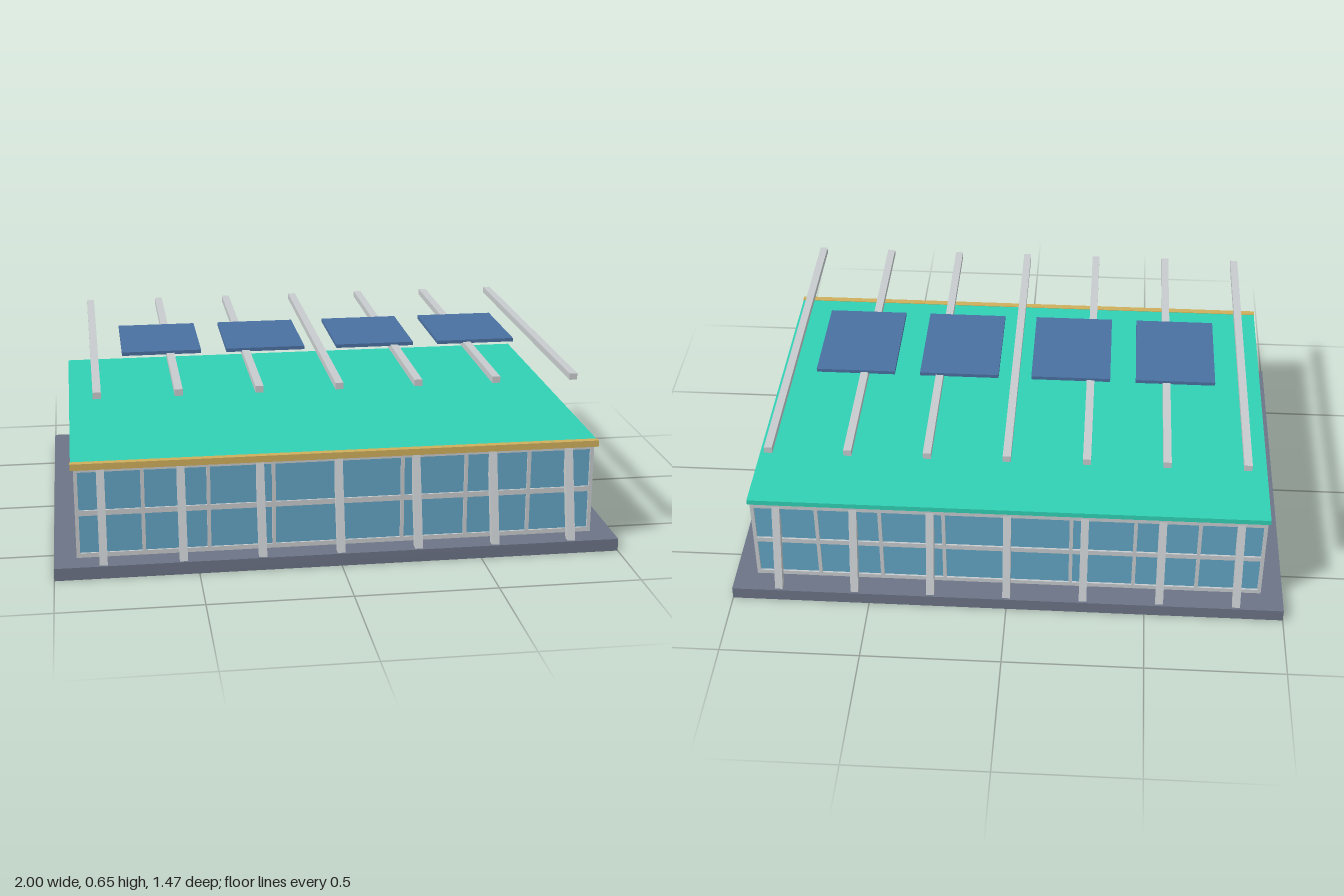
import * as THREE from 'three';

const material = (name, color) => {
  const m = new THREE.MeshStandardMaterial({ color });
  m.name = name;
  return m;
};

export function createModel() {
  const model = new THREE.Group();
  model.name = 'pavilion';
  const concrete = material('slate concrete', 0x6b7385);
  const steel = material('pale steel', 0xc6cacc);
  const glass = material('blue glass', 0x62a4c4);
  const teal = material('teal roof', 0x2fd0b4);
  const gold = material('gold trim', 0xcdae5c);
  const navy = material('solar blue', 0x4a70a0);

  // Box given by its limits on each axis
  const box = (name, mat, [x0, x1], [y0, y1], [z0, z1], parent = model) => {
    const mesh = new THREE.Mesh(new THREE.BoxGeometry(x1 - x0, y1 - y0, z1 - z0), mat);
    mesh.position.set((x0 + x1) / 2, (y0 + y1) / 2, (z0 + z1) / 2);
    mesh.name = name;
    parent.add(mesh);
    return mesh;
  };
  const about = (c, w) => [c - w / 2, c + w / 2];

  // Base, glazed hall and roof
  const slabTop = 0.045;
  box('baseSlab', concrete, [-1, 1], [0, slabTop], [-0.733, 0.733]);
  box('glazing', glass, [-0.914, 0.914], [slabTop, 0.374], [-0.637, 0.637]);
  box('roof', teal, [-0.93, 0.93], [0.376, 0.395], [-0.646, 0.646]);
  box('frontFascia', gold, [-0.932, 0.932], [0.374, 0.397], [0.64, 0.665]);

  // Window frame: horizontal rails on all four walls
  const frame = new THREE.Group();
  frame.name = 'windowFrame';
  model.add(frame);
  for (const [y, h] of [[0.053, 0.016], [0.209, 0.019], [0.367, 0.016]]) {
    for (const s of [-1, 1]) {
      box('longRail', steel, [-0.92, 0.92], about(y, h), about(s * 0.637, 0.014), frame);
      box('sideRail', steel, about(s * 0.914, 0.014), about(y, h), [-0.64, 0.64], frame);
    }
  }

  // Mullions along front and back, the outer ones forming the corners
  for (let i = 0; i <= 8; i++) {
    for (const s of [-1, 1]) {
      const x = (i - 4) * 0.2287;
      box('mullion', steel, about(x, 0.013), [slabTop, 0.375], about(s * 0.638, 0.013), frame);
    }
  }

  // Leaning columns and the roof beams above them
  const bottom = new THREE.Vector2(0.71, slabTop);
  const top = new THREE.Vector2(0.628, 0.374);
  const half = 0.0145;
  const profile = new THREE.Shape([
    new THREE.Vector2(bottom.x - half, bottom.y), new THREE.Vector2(bottom.x + half, bottom.y),
    new THREE.Vector2(top.x + half, top.y), new THREE.Vector2(top.x - half, top.y),
  ]);
  const columnGeometry = new THREE.ExtrudeGeometry(profile, { depth: 0.028, bevelEnabled: false });
  columnGeometry.translate(0, 0, -0.014);
  for (let i = -3; i <= 3; i++) {
    const x = i * 0.2765;
    for (const s of [-1, 1]) {
      const column = new THREE.Mesh(columnGeometry, steel);
      column.name = s > 0 ? 'frontColumn' : 'backColumn';
      column.position.x = x;
      column.rotation.y = -s * Math.PI / 2;
      model.add(column);
    }
    box('roofBeam', steel, about(x, 0.028), [0.623, 0.646], [-0.653, 0.653]);
  }

  // Solar panels resting on the beams
  for (const x of [-0.585, -0.204, 0.204, 0.585]) {
    box('solarPanel', navy, about(x, 0.288), [0.641, 0.654], [-0.192, 0.192]);
  }
  return model;
}
